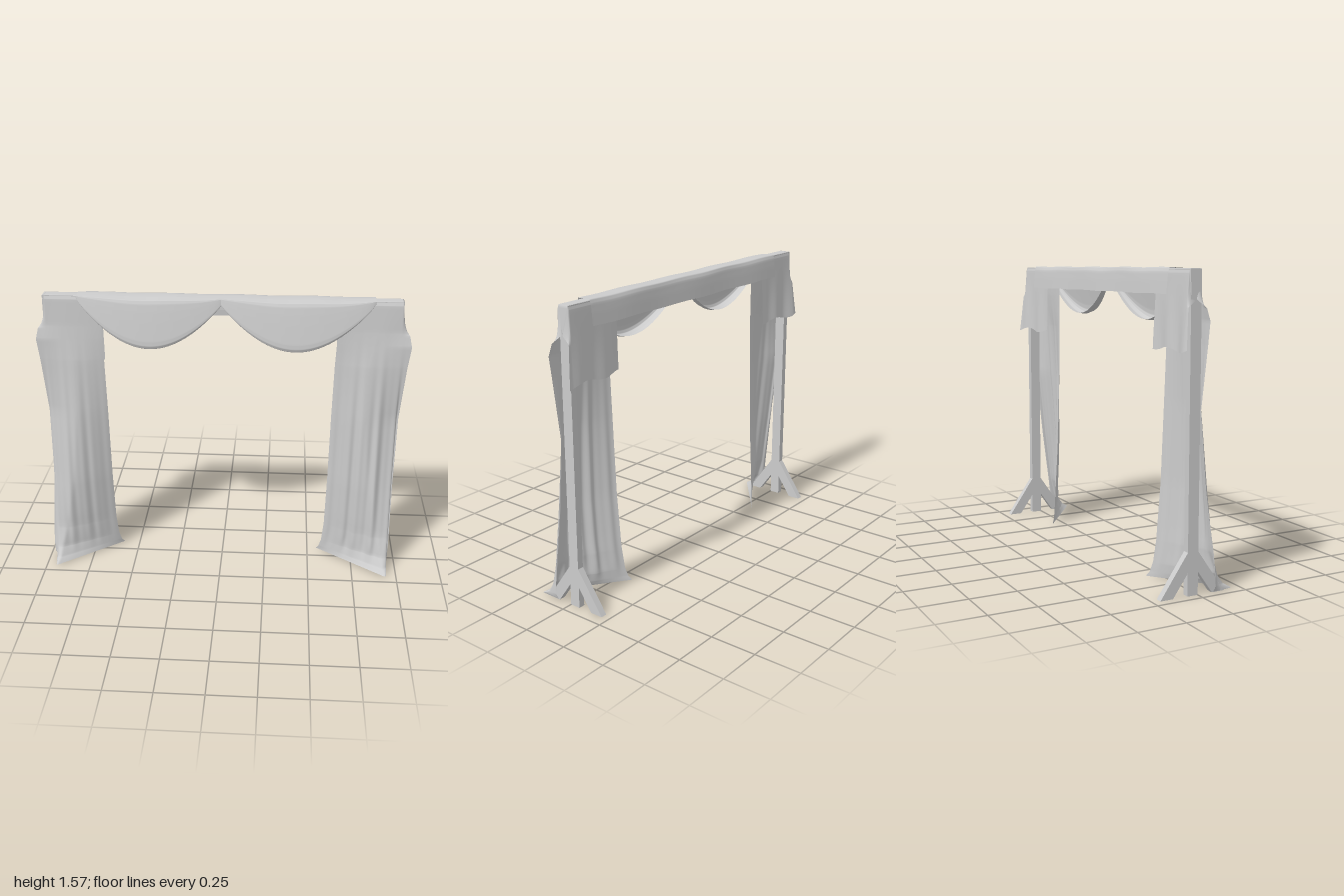
import * as THREE from 'three';

const paleGrey = new THREE.MeshStandardMaterial({ color: 0xcccccc });
paleGrey.name = 'paleGrey';
paleGrey.side = THREE.DoubleSide;

const lerp = THREE.MathUtils.lerp;
const smooth = THREE.MathUtils.smoothstep;

// Linear lookup in a table of rows, v from 0 to 1
function sample(table, v) {
  const f = v * (table.length - 1);
  const i = Math.min(Math.floor(f), table.length - 2);
  return table[i].map((a, k) => lerp(a, table[i + 1][k], f - i));
}

// Smooth cloth sheet whose points follow rule(u, v) -> [x, y, z]
function sheet(name, nu, nv, rule) {
  const geo = new THREE.PlaneGeometry(1, 1, nu, nv);
  const { position, uv } = geo.attributes;
  for (let i = 0; i < position.count; i++) {
    position.setXYZ(i, ...rule(uv.getX(i), 1 - uv.getY(i)));
  }
  geo.computeVertexNormals();
  const mesh = new THREE.Mesh(geo, paleGrey);
  mesh.name = name;
  return mesh;
}

function box(name, w, h, d, x, y, z) {
  const mesh = new THREE.Mesh(new THREE.BoxGeometry(w, h, d), paleGrey);
  mesh.name = name;
  mesh.position.set(x, y, z);
  return mesh;
}

// Post with a brace in front and behind
function support(name, x) {
  const g = new THREE.Group();
  g.name = name;
  const w = 0.035, h = 1.54;
  g.add(box('post', w, h, 0.058, x, h / 2, -0.029));
  for (const [brace, s] of [['frontBrace', 1], ['backBrace', -1]]) {
    const z0 = s > 0 ? -0.002 : -0.056;
    const pts = [[0, 0.22], [0.153, 0], [0.083, 0], [0, 0.118]];
    const shape = new THREE.Shape(pts.map(([a, y]) => new THREE.Vector2(z0 + s * a, y)));
    const geo = new THREE.ExtrudeGeometry(shape, { depth: w, bevelEnabled: false });
    geo.rotateY(-Math.PI / 2);
    const mesh = new THREE.Mesh(geo, paleGrey);
    mesh.name = brace;
    mesh.position.x = x + w / 2;
    g.add(mesh);
  }
  return g;
}

// Curtain rows from the back hem, over the beam, to the floor:
// y, z at inner edge, z at fullest point, z at outer edge, inner x, outer x,
// place of the fullest point across the width
const CURTAIN = [
  [1.18, -0.078, -0.084, -0.1, 0.62, 0.985, 0.6],
  [1.38, -0.07, -0.073, -0.08, 0.62, 0.965, 0.6],
  [1.54, -0.064, -0.064, -0.064, 0.62, 0.952, 0.6],
  [1.562, -0.058, -0.058, -0.058, 0.62, 0.952, 0.6],
  [1.562, -0.004, -0.004, -0.004, 0.62, 0.952, 0.6],
  [1.54, 0.004, 0.005, 0.004, 0.62, 0.957, 0.6],
  [1.4, 0.005, 0.012, 0.005, 0.62, 0.982, 0.55],
  [1.32, 0.005, 0.02, 0.02, 0.62, 1.0, 0.5],
  [1.2, 0.002, 0.034, 0.018, 0.615, 0.985, 0.45],
  [0.9, -0.006, 0.055, 0, 0.61, 0.962, 0.45],
  [0.5, -0.02, 0.08, 0.04, 0.607, 0.955, 0.55],
  [0.2, -0.04, 0.095, 0.078, 0.602, 0.955, 0.7],
  [0.08, -0.052, 0.125, 0.09, 0.592, 0.953, 0.78],
  [0.03, -0.063, 0.16, 0.09, 0.58, 0.952, 0.8],
  [0.003, -0.078, 0.203, 0.085, 0.565, 0.942, 0.84],
];

function curtain(name, side, backInset, frontInset, flare, ripple) {
  return sheet(name, 60, 112, (u, v) => {
    let [y, zi, zp, zo, xi, xo, peak] = sample(CURTAIN, v);
    const front = v > 0.36;
    xi += lerp(backInset, frontInset, smooth(v, 0.2, 0.36));
    xo += flare * (1 - smooth(y, 0.05, 0.6));
    // width: main span, then the loose outer edge
    const edge = Math.max(0, (u - 0.85) / 0.15);
    const xm = Math.min(xo, 0.945);
    const x = u < 0.85 ? lerp(xi, xm, u / 0.85) : lerp(xm, xo, edge);
    // fullness across the width
    const t = u / peak;
    let z = u < peak
      ? lerp(zi, zp, lerp(t, Math.sin(t * Math.PI / 2), 0.4 * smooth(y, 0, 0.3)))
      : lerp(zp, zo, smooth(u, peak, 1));
    // hanging folds
    const hang = front ? smooth(1.45 - y, 0, 0.9) * smooth(y, 0, 0.15) : 0;
    const spread = Math.sin(Math.PI * u) ** 0.6;
    z += ripple * hang * spread * (Math.sin(u * 31 + 1) + 0.5 * Math.sin(u * 53));
    if (!front) {
      const loose = smooth(1.5 - y, 0, 0.3);
      z += 0.005 * loose * Math.sin(u * 14 + side);
      y += 0.01 * loose * Math.sin(u * 9 + side * 2);
    }
    // cloth drooping over the beam end
    if (y > 1.38) {
      const droop = edge * smooth(y, 1.38, 1.562);
      y = lerp(y, 1.38 + (y - 1.38) * 0.25, edge);
      z = lerp(z, -0.028, droop);
    }
    return [side * x, y, z];
  });
}

// Cloth over the beam, back hem to front edge: y, z
const COVER = [[1.44, -0.082], [1.5, -0.077], [1.545, -0.072], [1.566, -0.063], [1.567, -0.03], [1.565, -0.002]];
// Swag: share of the drop, share of the bulge
const SWAG = [[0, 0], [0.03, 0.4], [0.1, 0.52], [0.25, 0.63], [0.45, 0.76], [0.65, 0.88],
  [0.82, 0.98], [0.91, 1], [0.97, 0.92], [1, 0.6], [0.98, 0.2]];

function valance(name, x0, x1) {
  const g = new THREE.Group();
  g.name = name;
  g.add(sheet('beamCover', 40, 20, (u, v) => {
    const [y, z] = sample(COVER, v);
    const x = lerp(x0, x1, u);
    const back = 1 - smooth(v, 0.3, 0.8);
    return [x, y + 0.0015 * Math.sin(x * 17), z + 0.003 * back * Math.sin(x * 11 - 1.5)];
  }));
  g.add(sheet('swag', 48, 60, (u, v) => {
    const [drop, bulge] = sample(SWAG, v);
    const arc = Math.max(Math.sin(Math.PI * u), 0);
    const x = lerp(x0, x1, u);
    const depth = 0.012 + 0.258 * arc ** 0.85;
    return [x, 1.565 - depth * drop + 0.0015 * Math.sin(x * 17) * (1 - drop),
      lerp(-0.002, 0.012, Math.min(1, v * 10)) + 0.078 * arc ** 0.75 * bulge];
  }));
  return g;
}

export function createModel() {
  const model = new THREE.Group();
  model.name = 'drapedArch';

  // Frame
  model.add(support('rightSupport', -0.937));
  model.add(support('leftSupport', 0.922));
  model.add(box('beam', 1.895, 0.06, 0.058, -0.007, 1.53, -0.031));

  // Side curtains
  model.add(curtain('rightCurtain', -1, 0.03, 0.025, 0.02, 0.003));
  model.add(curtain('leftCurtain', 1, 0, -0.012, 0, 0.007));

  // Paired swags along the beam
  model.add(valance('rightValance', -0.77, 0.012));
  model.add(valance('leftValance', -0.02, 0.8));
  return model;
}
